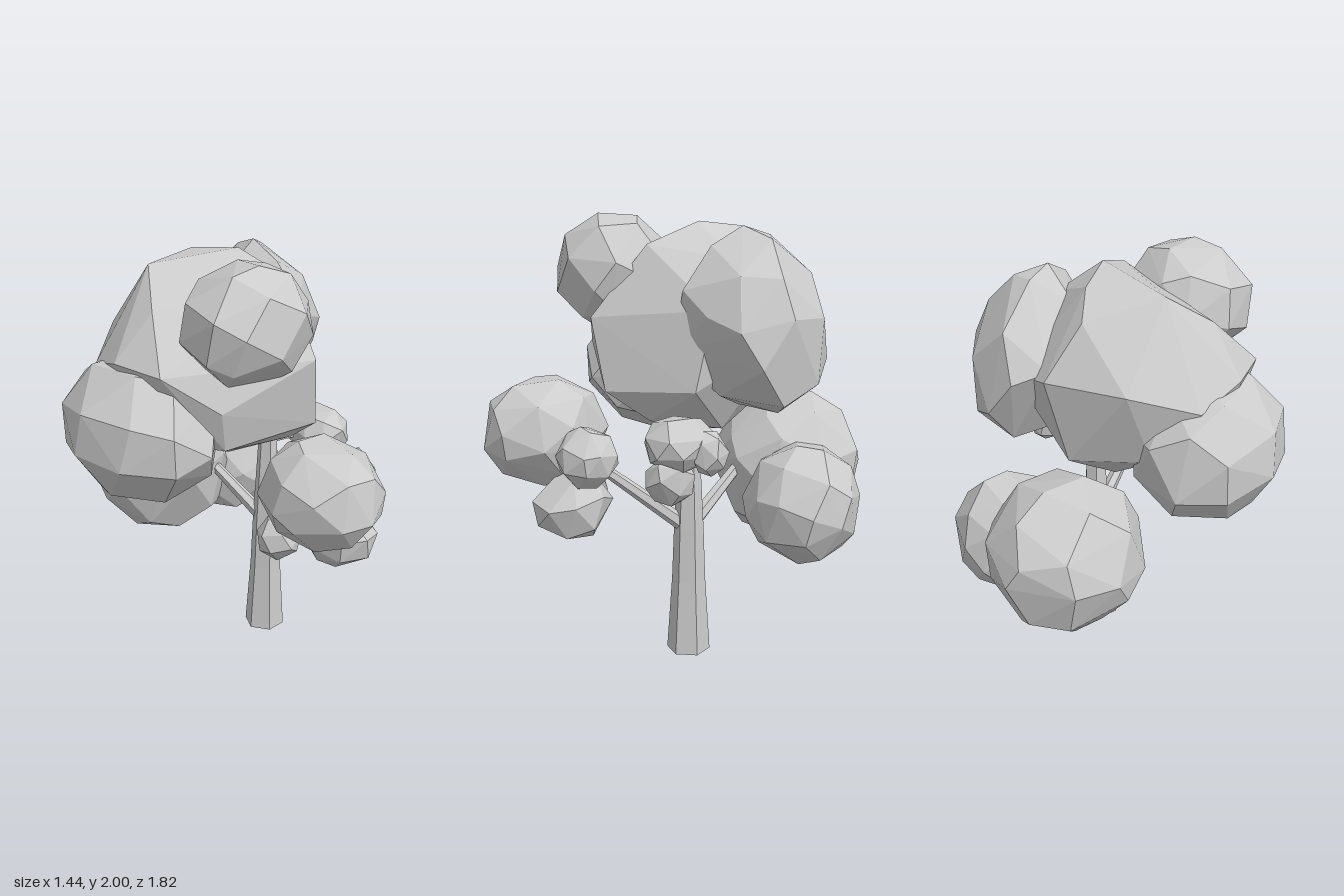
import * as THREE from 'three';
import { ConvexGeometry } from 'three/addons/geometries/ConvexGeometry.js';

const material = new THREE.MeshStandardMaterial({ color: 0xcccccc, flatShading: true });

function seeded(seed) {
  let s = seed * 7919 + 17;
  return () => ((s = (s * 16807) % 2147483647) / 2147483647);
}

function hull(name, points) {
  const mesh = new THREE.Mesh(new ConvexGeometry(points), material);
  mesh.name = name;
  return mesh;
}

// Faceted clump of leaves: hull of points spread unevenly on a ball, fitted to the box min..max
function foliage(name, min, max, count, seed) {
  const rand = seeded(seed);
  for (let i = 0; i < 5; i++) rand();
  const spin = new THREE.Euler(rand() * 6, rand() * 6, 0);
  const points = [];
  for (let i = 0; i < count; i++) {
    const y = 1 - (2 * i + 1) / count;
    const r = Math.sqrt(1 - y * y);
    const a = i * 2.39996;
    const p = new THREE.Vector3(r * Math.cos(a), y, r * Math.sin(a));
    p.x += (rand() - 0.5) * 0.25;
    p.y += (rand() - 0.5) * 0.25;
    p.z += (rand() - 0.5) * 0.25;
    points.push(p.normalize().applyEuler(spin));
  }
  const box = new THREE.Box3().setFromPoints(points);
  const size = box.getSize(new THREE.Vector3());
  const low = new THREE.Vector3(...min);
  const scale = new THREE.Vector3(...max).sub(low).divide(size);
  points.forEach(p => p.sub(box.min).multiply(scale).add(low));
  return hull(name, points);
}

// Tapered limb between two points
function limb(name, from, to, r0, r1) {
  const a = new THREE.Vector3(...from);
  const b = new THREE.Vector3(...to);
  const mesh = new THREE.Mesh(new THREE.CylinderGeometry(r1, r0, a.distanceTo(b), 6), material);
  mesh.name = name;
  mesh.position.copy(a).add(b).multiplyScalar(0.5);
  mesh.quaternion.setFromUnitVectors(new THREE.Vector3(0, 1, 0), b.sub(a).normalize());
  return mesh;
}

export function createModel() {
  const tree = new THREE.Group();
  tree.name = 'tree';

  // Six-sided trunk, flared at the foot and narrowing into the crown
  const profile = [[0, 0], [0.1, 0], [0.077, 0.35], [0.068, 0.6], [0.047, 1], [0.035, 1.25], [0, 1.25]];
  const trunkGeo = new THREE.LatheGeometry(profile.map(p => new THREE.Vector2(...p)), 6, Math.PI / 2);
  const trunk = new THREE.Mesh(trunkGeo, material);
  trunk.name = 'trunk';
  trunk.position.set(0.262, 0, 0.045);
  tree.add(trunk);

  // Branches
  tree.add(
    limb('frontBranch', [0.26, 0.6, 0.05], [0.21, 0.97, 0.51], 0.037, 0.022),
    limb('backBranch', [0.26, 0.6, 0.04], [0.16, 0.88, -0.3], 0.037, 0.025),
    limb('sideTwig', [0.27, 1.03, 0.05], [0.46, 1.06, 0.17], 0.018, 0.012)
  );

  // Angular crowns given by their corners
  const crowns = {
    mainCrown: [
      [0.15, 1.97, -0.05], [0.1, 1.94, -0.3], [0.18, 1.88, 0.21], [-0.23, 1.93, -0.23], [-0.37, 1.78, -0.05],
      [0.12, 1.57, 0.45], [0.18, 1.25, 0.41], [-0.25, 1.2, 0.27], [-0.3, 1.39, 0.3],
      [0.47, 1.62, 0.03], [0.45, 1.27, 0.1], [0.23, 1.11, 0.22], [0.35, 1.82, -0.1],
      [-0.53, 1.57, -0.12], [-0.5, 1.56, 0.14], [-0.45, 1.5, -0.35], [-0.42, 1.2, -0.05],
      [-0.2, 1.6, -0.53], [0.17, 1.6, -0.55], [0.45, 1.5, -0.35], [0.1, 1.22, -0.49], [-0.25, 1.25, -0.4],
      [0.05, 1.02, 0], [0, 1.06, -0.25], [0.3, 1.06, -0.1], [0.05, 1.84, -0.43]
    ],
    leftCrown: [
      [0.36, 1.96, -0.16], [0.49, 1.91, -0.23], [0.65, 1.76, -0.2], [0.72, 1.6, -0.22], [0.72, 1.4, -0.08],
      [0.68, 1.23, -0.2], [0.54, 1.17, -0.25], [0.35, 1.18, -0.15], [0.38, 1.7, 0.13], [0.36, 1.88, -0.01],
      [0.38, 1.92, -0.28], [0.4, 1.75, -0.48], [0.33, 1.55, -0.55], [0.47, 1.38, -0.53], [0.42, 1.22, -0.42],
      [0.3, 1.42, 0.14], [0.46, 1.25, -0.01], [0.6, 1.58, -0.43], [0.67, 1.55, 0], [0.52, 1.6, 0.08],
      [0.19, 1.55, 0.06], [0.15, 1.6, -0.2], [0.2, 1.6, -0.46], [0.58, 1.77, -0.04], [0.62, 1.3, -0.4],
      [0.22, 1.82, -0.2]
    ]
  };
  for (const [name, corners] of Object.entries(crowns)) {
    tree.add(hull(name, corners.map(p => new THREE.Vector3(...p))));
  }

  // Leaf clumps: name, box min, box max, number of corners
  const clumps = [
    ['frontCrown', [-0.39, 1.48, 0.0], [0.19, 2.0, 0.51], 30],
    ['rightCrown', [-0.72, 0.91, -0.5], [-0.06, 1.58, 0.29], 32],
    ['backFoliage', [-0.25, 0.43, -0.91], [0.45, 1.15, -0.2], 36],
    ['backLeftFoliage', [0.2, 0.43, -0.69], [0.72, 1.0, -0.16], 34],
    ['frontFoliage', [-0.28, 0.8, 0.34], [0.22, 1.29, 0.91], 32],
    ['lowerFrontTuft', [0.03, 0.6, 0.39], [0.34, 0.9, 0.75], 20],
    ['upperFrontTuft', [0.16, 0.86, 0.4], [0.41, 1.13, 0.67], 24],
    ['hiddenFrontTuft', [-0.16, 0.66, 0.33], [0.04, 0.86, 0.52], 18],
    ['sideTuft', [0.33, 0.94, 0.03], [0.6, 1.18, 0.34], 22],
    ['lowerSideTuft', [0.38, 0.8, 0.13], [0.55, 1.03, 0.34], 18],
    ['outerSideTuft', [0.48, 0.93, 0.0], [0.63, 1.13, 0.16], 18]
  ];
  clumps.forEach(([name, min, max, count], i) => tree.add(foliage(name, min, max, count, i + 4)));

  return tree;
}
